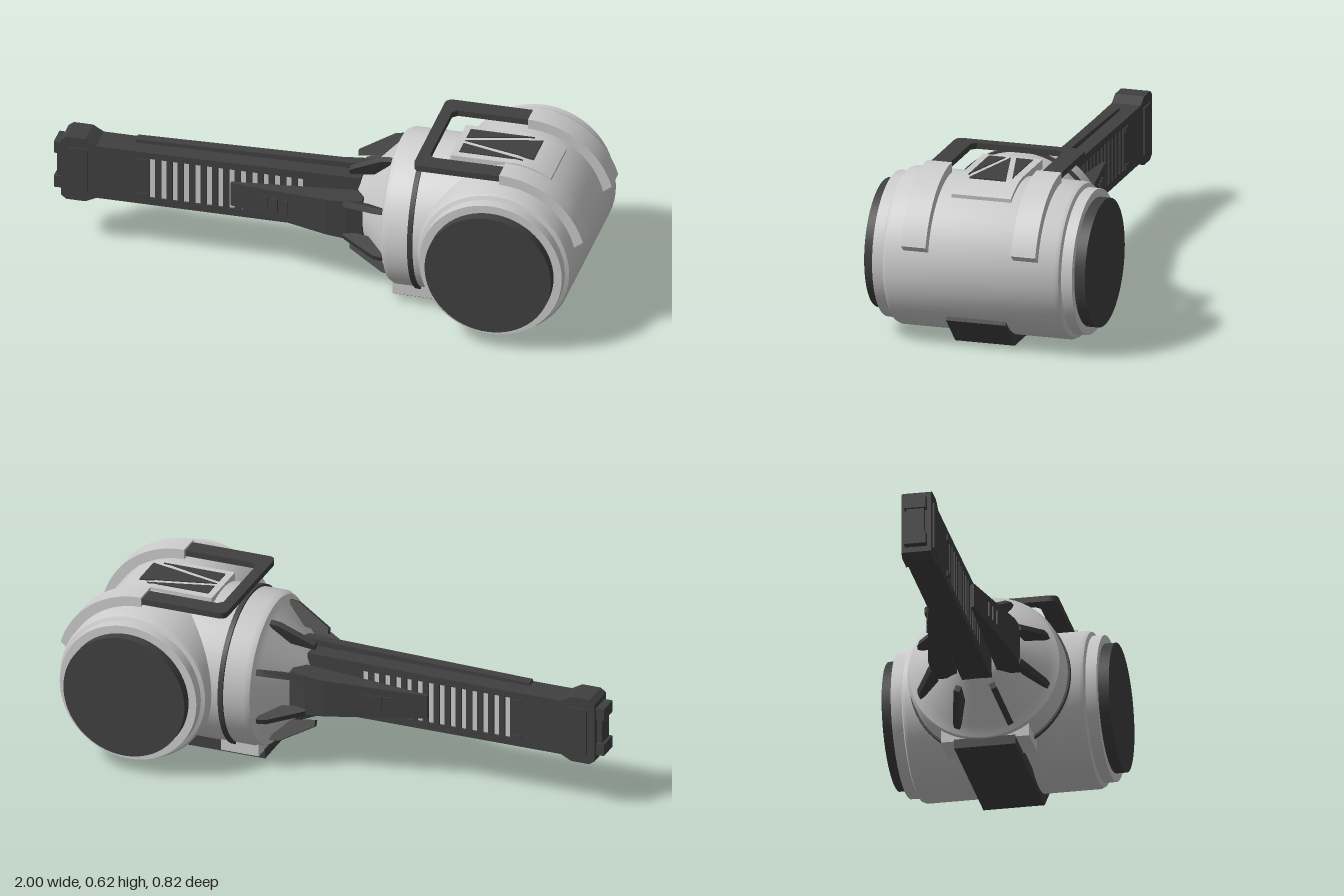
import * as THREE from 'three';
import { toCreasedNormals } from 'three/addons/utils/BufferGeometryUtils.js';

const grey = new THREE.MeshStandardMaterial({ color: 0xcccccc });
const dark = new THREE.MeshStandardMaterial({ color: 0x404040 });
const CX = 0.69, CY = 0.305; // drum axis

export function createModel() {
  const model = new THREE.Group();

  function add(name, geometry, material, x = 0, y = 0, z = 0, parent = model) {
    const mesh = new THREE.Mesh(geometry, material);
    mesh.name = name;
    mesh.position.set(x, y, z);
    parent.add(mesh);
    return mesh;
  }
  const box = (name, m, x0, x1, y0, y1, z0, z1) =>
    add(name, new THREE.BoxGeometry(x1 - x0, y1 - y0, z1 - z0), m, (x0 + x1) / 2, (y0 + y1) / 2, (z0 + z1) / 2);
  const shapeOf = pts => new THREE.Shape(pts.map(p => new THREE.Vector2(...p)));
  // Prism of an outline, centred on its depth
  function prism(shape, depth) {
    const g = new THREE.ExtrudeGeometry(shape, { depth, bevelEnabled: false, curveSegments: 24 });
    g.translate(0, 0, -depth / 2);
    return toCreasedNormals(g, 0.5);
  }
  // Turned part: points are [radius, position along the axis]
  const turned = pts => toCreasedNormals(
    new THREE.LatheGeometry(pts.map(p => new THREE.Vector2(...p)), 64), 0.6);
  const arc = (r, a0, a1, n = 20) => Array.from({ length: n + 1 }, (_, i) => {
    const a = a0 + (a1 - a0) * i / n;
    return [CX + r * Math.cos(a), CY + r * Math.sin(a)];
  });

  // Drum head with stepped ends
  const half = [[0.283, 0], [0.283, 0.313], [0.277, 0.327], [0.263, 0.333], [0.262, 0.373], [0, 0.373]];
  const drumProfile = [...half.slice(1).reverse().map(([r, h]) => [r, -h]), ...half.slice(1)];
  add('drum', turned(drumProfile), grey, CX, CY, 0).rotation.x = Math.PI / 2;
  for (const s of [1, -1]) {
    const cap = add('strikingFace', new THREE.CylinderGeometry(0.232, 0.232, 0.05, 64), dark, CX, CY, s * 0.387);
    cap.rotation.x = Math.PI / 2;
  }

  // Collar and cone joining drum to handle
  add('collar', turned([[0, 0.12], [0.085, 0.12], [0.11, 0.13], [0.235, 0.25], [0.272, 0.265],
    [0.283, 0.285], [0.283, CX]]), grey, 0, CY, 0).rotation.z = -Math.PI / 2;
  add('collarBand', turned([[0.27, 0.362], [0.291, 0.362], [0.291, 0.38], [0.27, 0.38]]),
    dark, 0, CY, 0).rotation.z = -Math.PI / 2;

  // Eight radial fins round the cone
  const fin = prism(shapeOf([[0.095, 0.155], [0.2, 0.17], [0.255, 0.215], [0.255, 0.255], [0.22, 0.25], [0.095, 0.178]]), 0.022);
  for (let i = 0; i < 8; i++) {
    add('coneFin', fin, dark, 0, CY, 0).rotation.x = (i + 0.5) * Math.PI / 4;
  }

  // Straps over the drum
  const strap = prism(shapeOf([...arc(0.32, Math.PI / 2, 0.28), ...arc(0.275, 0.215, Math.PI / 2)]), 0.092);
  for (const s of [1, -1]) add('strap', strap, grey, 0, 0, s * 0.205);

  // U-shaped bracket running from the straps over the collar
  const u = new THREE.Shape();
  u.moveTo(0.70, 0.243);
  u.lineTo(0.40, 0.243);
  u.quadraticCurveTo(0.37, 0.243, 0.37, 0.21);
  u.lineTo(0.37, -0.21);
  u.quadraticCurveTo(0.37, -0.243, 0.40, -0.243);
  u.lineTo(0.70, -0.243);
  u.lineTo(0.70, -0.172);
  u.lineTo(0.43, -0.172);
  u.lineTo(0.412, -0.155);
  u.lineTo(0.412, 0.155);
  u.lineTo(0.43, 0.172);
  u.lineTo(0.70, 0.172);
  add('topBracket', prism(u, 0.022), dark, 0, 0.606, 0).rotation.x = -Math.PI / 2;

  // Top plate with three triangular vents
  add('topPlate', prism(shapeOf([[0.475, 0.54], [0.475, 0.599], [CX, 0.599],
    ...arc(0.295, Math.PI / 2, 1.02).slice(1), [0.84, 0.52]]), 0.222), grey);
  const vents = [
    [[0.5, 0], [0.77, -0.068], [0.77, 0.068]],
    [[0.5, 0.02], [0.735, 0.082], [0.5, 0.082]],
    [[0.5, -0.02], [0.5, -0.082], [0.735, -0.082]],
  ];
  for (const v of vents) {
    add('vent', prism(shapeOf(v), 0.006), dark, 0, 0.5995, 0).rotation.x = -Math.PI / 2;
  }

  // Pad under the drum
  add('bottomPad', prism(shapeOf([[0.27, 0], [0.80, 0], [0.908, 0.105], [0.9, 0.125], [0.8, 0.08], [0.27, 0.035]]), 0.222), dark);
  box('padMount', grey, 0.275, 0.42, 0.03, 0.09, -0.16, 0.16);

  // Handle frame, pierced by slits that show a paler core
  const frame = shapeOf([[-0.97, 0.195], [-0.95, 0.18], [-0.88, 0.18], [-0.84, 0.2], [0.13, 0.2],
    [0.13, 0.42], [-0.64, 0.412], [-0.84, 0.412], [-0.88, 0.435], [-0.95, 0.435], [-0.97, 0.42]]);
  for (let i = 0; i < 14; i++) {
    const x = -0.645 + i * 0.0418;
    frame.holes.push(new THREE.Path([[x, 0.228], [x + 0.02, 0.228], [x + 0.02, 0.388], [x, 0.388]]
      .map(p => new THREE.Vector2(...p))));
  }
  add('handleFrame', prism(frame, 0.108), dark);
  box('handleCore', grey, -0.66, -0.05, 0.22, 0.395, -0.046, 0.046);
  for (const s of [1, -1]) {
    box('handleRib', dark, -0.69, -0.655, 0.365, 0.385, s * 0.054 - 0.005, s * 0.054 + 0.005);
    box('handleRib', dark, -0.69, -0.655, 0.225, 0.245, s * 0.054 - 0.005, s * 0.054 + 0.005);
    box('pommelPanel', dark, -0.94, -0.87, 0.22, 0.395, s * 0.054 - 0.006, s * 0.054 + 0.006);
  }

  // Notched end of the handle
  box('pommelEnd', dark, -0.99, -0.96, 0.24, 0.375, -0.032, 0.032);
  box('pommelLug', dark, -1, -0.96, 0.355, 0.4, -0.04, 0.04);
  box('pommelLug', dark, -1, -0.96, 0.215, 0.26, -0.04, 0.04);

  // Slim spine above the handle
  add('spine', prism(shapeOf([[-0.705, 0.428], [0.1, 0.436], [0.2, 0.436], [0.15, 0.462], [0.08, 0.458], [-0.705, 0.44]]), 0.036), dark);

  // Pointed side blades: plan outline with height tapering to the tip
  const plan = shapeOf([[-0.34, 0.072], [0.16, 0.072], [0.16, 0.15], [0.1, 0.16], [0.03, 0.157], [-0.34, 0.084]]);
  const blade = prism(plan, 1);
  blade.rotateX(Math.PI / 2); // plan y becomes z, depth becomes height
  const p = blade.attributes.position;
  for (let i = 0; i < p.count; i++) {
    const t = (p.getX(i) + 0.34) / 0.5;
    const h = 0.09 + 0.07 * t;
    p.setY(i, CY + p.getY(i) * h);
  }
  blade.computeVertexNormals();
  for (const s of [1, -1]) {
    const side = new THREE.Group();
    side.name = 'sideBlade';
    side.rotation.x = s > 0 ? 0 : Math.PI;
    side.position.y = s > 0 ? 0 : 2 * CY;
    model.add(side);
    add('blade', blade, dark, 0, 0, 0, side);
    // Small raised windows along the blade
    for (let i = 0; i < 3; i++) {
      const x = -0.205 + i * 0.038;
      const w = add('bladeWindow', new THREE.BoxGeometry(0.022, 0.055, 0.012), dark,
        x, CY, 0.084 + (x + 0.34) * 0.197, side);
      w.rotation.y = -0.195;
    }
  }
  return model;
}
